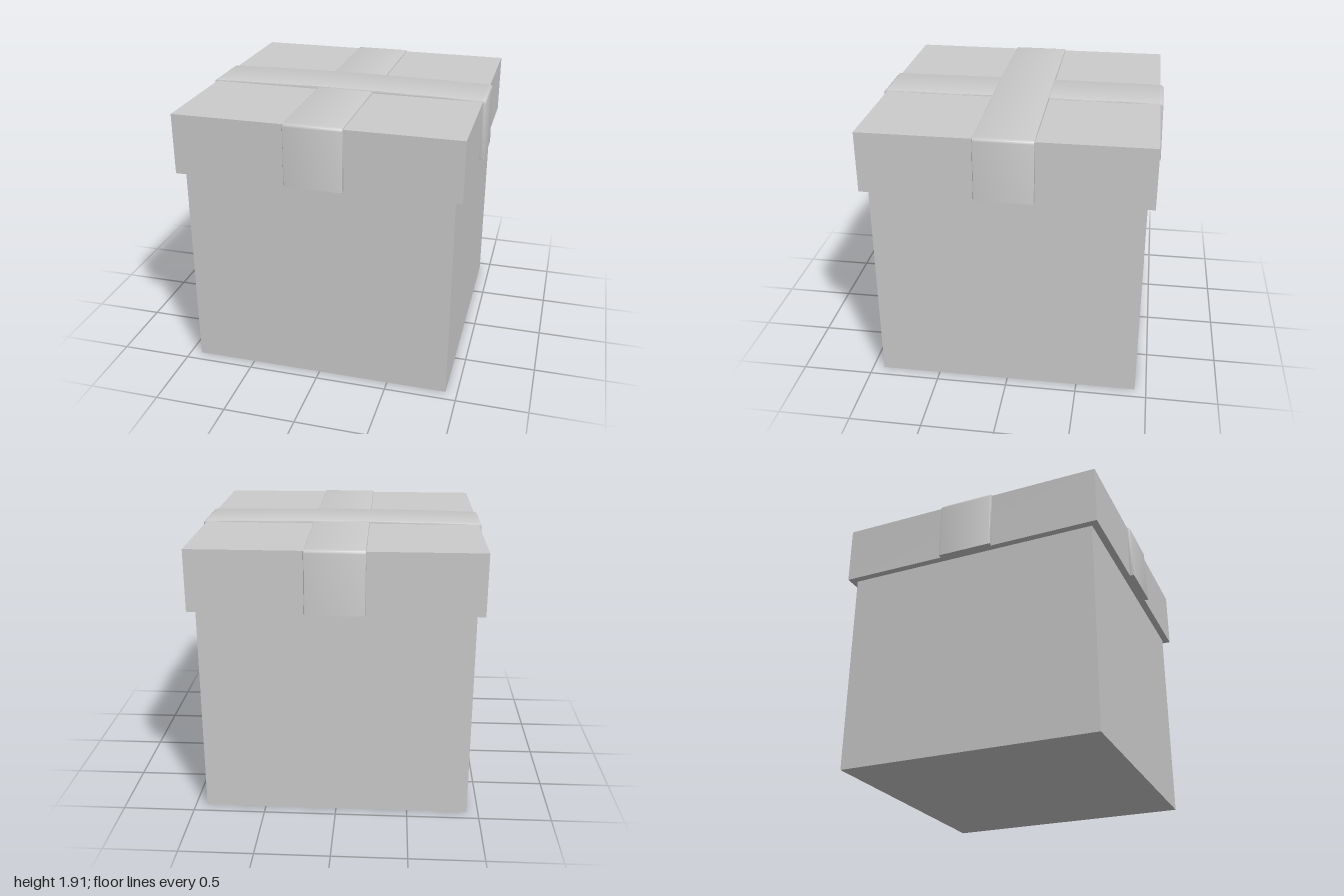
import * as THREE from 'three';
import { toCreasedNormals } from 'three/addons/utils/BufferGeometryUtils.js';

const LID_BOTTOM = 1.47, LID_TOP = 1.89;
const material = new THREE.MeshStandardMaterial({ color: 0xcccccc });

function addBox(group, name, width, bottom, top) {
  const mesh = new THREE.Mesh(new THREE.BoxGeometry(width, top - bottom, width), material);
  mesh.name = name;
  mesh.position.y = (top + bottom) / 2;
  group.add(mesh);
}

// Band draped over the lid along x: slightly flared ends, crown raised in the middle
function ribbonGeometry(crown) {
  const width = 0.4, bevel = 0.01, end = 1.9;
  const s = new THREE.Shape();
  s.moveTo(0.95, LID_BOTTOM);
  s.lineTo(1, LID_BOTTOM);
  s.lineTo(0.99, 1.88);
  s.quadraticCurveTo(0.988, end, 0.965, end);
  s.quadraticCurveTo(0, 2 * crown - end, -0.965, end);
  s.quadraticCurveTo(-0.988, end, -0.99, 1.88);
  s.lineTo(-1, LID_BOTTOM);
  s.lineTo(-0.95, LID_BOTTOM);
  s.lineTo(-0.95, 1.86);
  s.lineTo(0.95, 1.86);
  s.closePath();
  const geometry = new THREE.ExtrudeGeometry(s, {
    depth: width - 2 * bevel, curveSegments: 8,
    bevelEnabled: true, bevelThickness: bevel, bevelSize: bevel,
    bevelOffset: -bevel, bevelSegments: 2,
  });
  geometry.translate(0, 0, bevel - width / 2);
  return toCreasedNormals(geometry, 0.7);
}

export function createModel() {
  const group = new THREE.Group();
  group.name = 'giftBox';

  addBox(group, 'boxBody', 1.84, 0, LID_BOTTOM + 0.02);
  addBox(group, 'lid', 1.94, LID_BOTTOM, LID_TOP);

  // Crossed ribbons, the sideways one lying on top
  const over = new THREE.Mesh(ribbonGeometry(1.912), material);
  over.name = 'ribbonAcross';
  const under = new THREE.Mesh(ribbonGeometry(1.903), material);
  under.name = 'ribbonFrontToBack';
  under.rotation.y = Math.PI / 2;
  group.add(over, under);

  return group;
}
